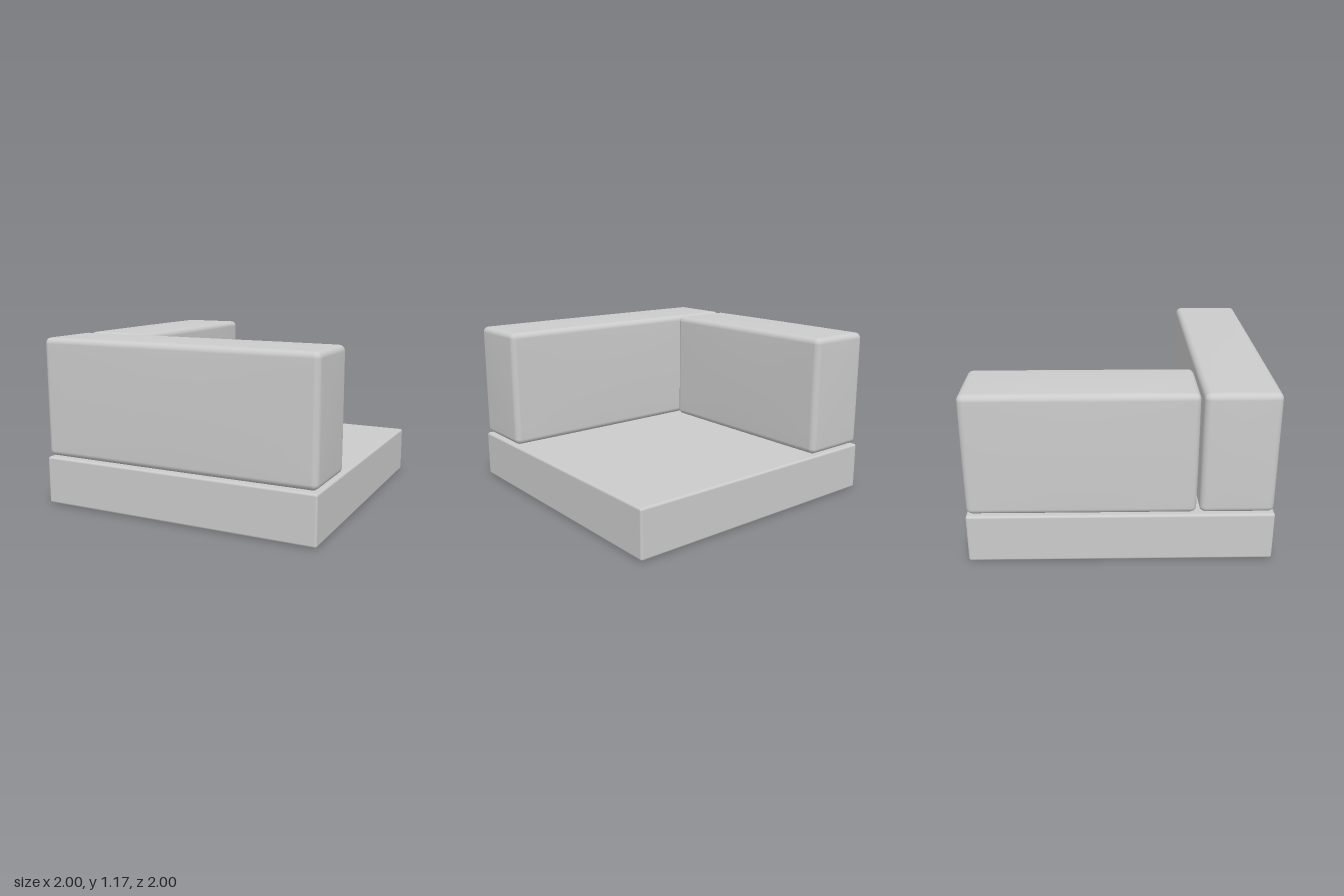
import * as THREE from 'three';
import { mergeVertices } from 'three/addons/utils/BufferGeometryUtils.js';
import { RoundedBoxGeometry } from 'three/addons/geometries/RoundedBoxGeometry.js';

const material = new THREE.MeshStandardMaterial({ color: 0xcccccc });

// Soft cushion: a box with rounded edges and slightly domed faces
function cushionGeometry(size, radius, bulge) {
  const n = 14, edge = 3; // segments per side, of which `edge` at each end form the rounding
  const geo = new THREE.BoxGeometry(2, 2, 2, n, n, n);
  const pos = geo.attributes.position;
  const half = size.map((s) => s / 2 - bulge);
  for (let i = 0; i < pos.count; i++) {
    const t = [pos.getX(i), pos.getY(i), pos.getZ(i)];
    // Squeeze the outer segments into the rounded border
    const p = t.map((v, k) => {
      const step = Math.abs(v) * n / 2, inner = n / 2 - edge, core = half[k] - radius;
      const d = step <= inner ? core * step / inner
        : core + radius * Math.tan((step - inner) / edge * Math.PI / 4);
      return Math.sign(v) * d;
    });
    const core = p.map((v, k) => THREE.MathUtils.clamp(v, radius - half[k], half[k] - radius));
    const out = new THREE.Vector3(...p.map((v, k) => v - core[k])).setLength(radius).toArray();
    const q = core.map((v, k) => v + out[k]);
    const u = q.map((v, k) => v / half[k]);
    // Dome each face, fading to nothing at its edges
    pos.setXYZ(i, ...q.map((v, k) => {
      const a = u[(k + 1) % 3], b = u[(k + 2) % 3];
      return v + bulge * u[k] * (1 - a * a) * (1 - b * b);
    }));
  }
  geo.deleteAttribute('normal');
  geo.deleteAttribute('uv');
  const smooth = mergeVertices(geo, 1e-5);
  smooth.computeVertexNormals();
  return smooth;
}

function addPart(group, name, geometry, x, y, z) {
  const mesh = new THREE.Mesh(geometry, material);
  mesh.name = name;
  mesh.position.set(x, y, z);
  group.add(mesh);
}

export function createModel() {
  const group = new THREE.Group();
  group.name = 'cornerSeat';
  // Seat slab with thin bevels
  addPart(group, 'seatBase', new RoundedBoxGeometry(2, 0.335, 2, 2, 0.016), 0, 0.1675, 0);
  // Long backrest across the front and shorter one along the right side
  addPart(group, 'longBackrest', cushionGeometry([2, 0.835, 0.495], 0.04, 0.006), 0, 0.755, 0.75);
  addPart(group, 'sideBackrest', cushionGeometry([0.495, 0.835, 1.495], 0.04, 0.006), -0.7525, 0.755, -0.2525);
  return group;
}
